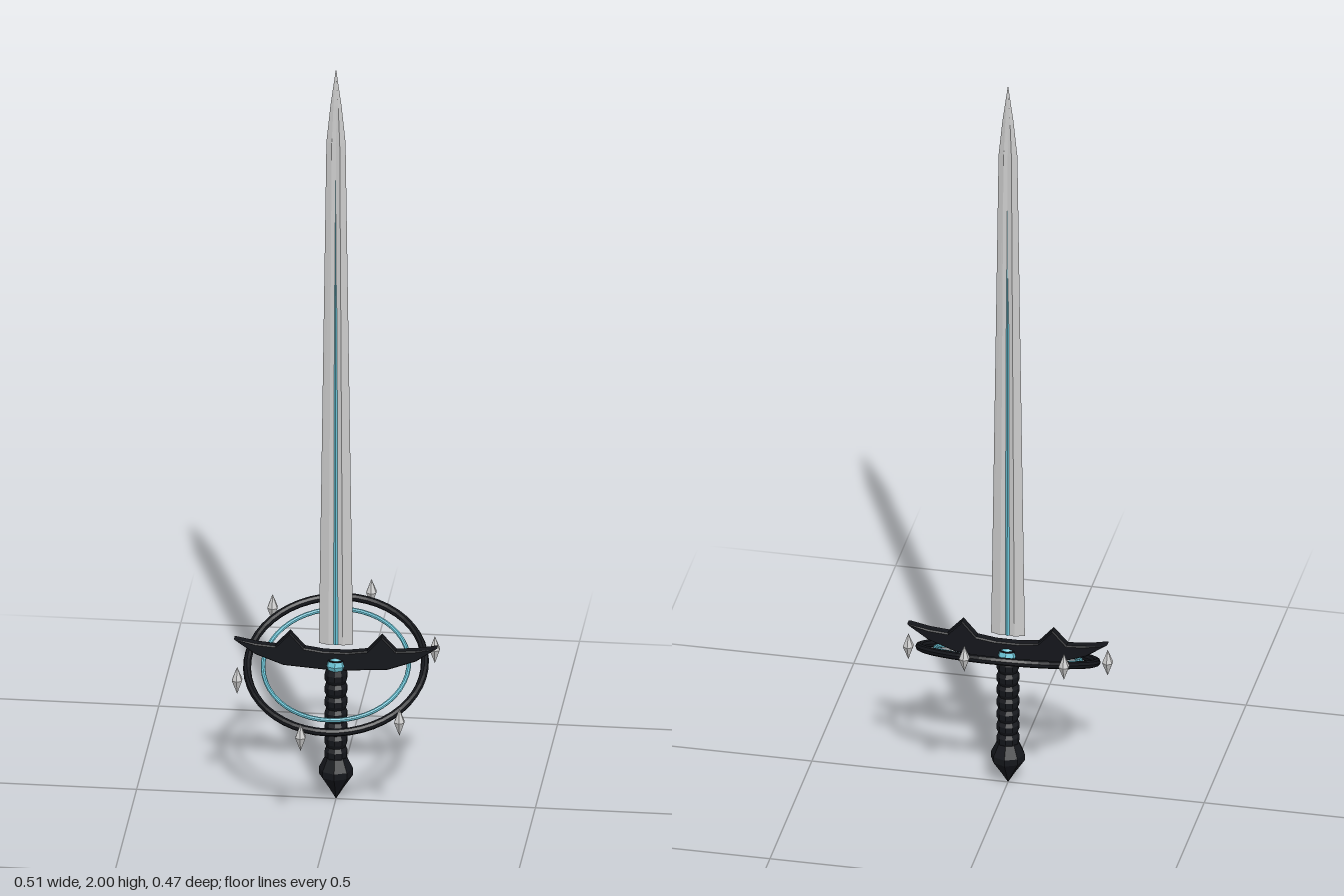
import * as THREE from 'three';

const mat = (color) => new THREE.MeshStandardMaterial({ color, flatShading: true });

function add(parent, name, geometry, material) {
  const mesh = new THREE.Mesh(geometry, material);
  mesh.name = name;
  parent.add(mesh);
  return mesh;
}

const lathe = (profile, sides) =>
  new THREE.LatheGeometry(profile.map(([r, y]) => new THREE.Vector2(r, y)), sides);

// Skin a stack of horizontal sections; each is { y, pts: [[x, z], ...] } running from +x towards +z
function loft(sections) {
  const n = sections[0].pts.length;
  const pos = [];
  const idx = [];
  for (const { y, pts } of sections) for (const [x, z] of pts) pos.push(x, y, z);
  for (let s = 0; s < sections.length - 1; s++) {
    for (let i = 0; i < n; i++) {
      const j = (i + 1) % n;
      const a = s * n + i, b = s * n + j;
      idx.push(a, a + n, b, b, a + n, b + n);
    }
  }
  // bottom cap
  pos.push(0, sections[0].y, 0);
  const c = pos.length / 3 - 1;
  for (let i = 0; i < n; i++) idx.push(c, i, (i + 1) % n);
  const g = new THREE.BufferGeometry();
  g.setAttribute('position', new THREE.Float32BufferAttribute(pos, 3));
  g.setIndex(idx);
  g.computeVertexNormals();
  return g;
}

// Two ridges with a shallow groove between them
const bladeSection = (y, w, t, groove) => ({
  y,
  pts: [[w, 0], [w * 0.42, t], [0, groove], [-w * 0.42, t],
    [-w, 0], [-w * 0.42, -t], [0, -groove], [w * 0.42, -t]],
});
const diamondSection = (y, w, t) => ({ y, pts: [[w, 0], [0, t], [-w, 0], [0, -t]] });

export function createModel() {
  const model = new THREE.Group();
  model.name = 'sword';
  const steel = mat(0xcccccc);
  const black = mat(0x14161b);
  const cyan = mat(0x6cc6d8);

  // Blade and its glowing core
  add(model, 'blade', loft([
    bladeSection(0.425, 0.043, 0.009, 0.005),
    bladeSection(1.8, 0.024, 0.0065, 0.0045),
    bladeSection(1.9, 0.014, 0.004, 0.004),
    bladeSection(2.0, 0.0003, 0.0003, 0.0003),
  ]), steel);
  add(model, 'bladeCore', loft([
    diamondSection(0.425, 0.016, 0.0095),
    diamondSection(1.3, 0.011, 0.0078),
    diamondSection(1.7, 0.0003, 0.005),
  ]), cyan);

  // Crossguard: mirrored half outline with a raised spike on each arm
  const half = [[0.03, 0.36], [0.13, 0.367], [0.2, 0.393], [0.251, 0.427],
    [0.2, 0.416], [0.15, 0.412], [0.115, 0.45], [0.08, 0.41], [0.03, 0.403]];
  const outline = [...half, ...half.map(([x, y]) => [-x, y]).reverse()];
  const guard = new THREE.ExtrudeGeometry(
    new THREE.Shape(outline.map(([x, y]) => new THREE.Vector2(x, y))),
    { depth: 0.018, bevelEnabled: true, bevelThickness: 0.004, bevelSize: 0.003, bevelSegments: 1 });
  guard.translate(0, 0, -0.009);
  add(model, 'crossguard', guard, black);

  // Gem set through the middle of the guard
  const gem = add(model, 'guardGem', new THREE.SphereGeometry(0.03, 8, 6), cyan);
  gem.position.y = 0.37;
  gem.scale.set(0.9, 0.75, 1);

  // Grip with wrapped ridges
  const gripProfile = [[0, 0.105], [0.023, 0.105]];
  const wraps = 7, step = 0.035;
  for (let i = 0; i < wraps; i++) {
    const y = 0.11 + i * step;
    gripProfile.push([0.024, y], [0.029, y + step * 0.3], [0.029, y + step * 0.7]);
  }
  gripProfile.push([0.024, 0.36], [0.024, 0.385], [0, 0.385]);
  add(model, 'grip', lathe(gripProfile, 10), black);

  // Pointed pommel
  add(model, 'pommel', lathe(
    [[0, 0], [0.018, 0.03], [0.043, 0.068], [0.043, 0.085], [0.026, 0.12], [0, 0.12]], 8), black);

  // Tilted hoops around the guard
  const centreY = 0.3675, tilt = 0.44;
  const rings = new THREE.Group();
  rings.name = 'rings';
  rings.position.y = centreY;
  rings.rotation.x = tilt;
  model.add(rings);
  const hoop = (name, radius, tube, material) =>
    add(rings, name, new THREE.TorusGeometry(radius, tube, 8, 48).rotateX(Math.PI / 2), material);
  hoop('outerRing', 0.222, 0.01, black);
  hoop('innerRing', 0.182, 0.0058, cyan);

  // Upright crystals floating just outside the hoops
  const crystalGeo = lathe([[0, -0.038], [0.0145, 0], [0, 0.036]], 6);
  for (let i = 0; i < 6; i++) {
    const a = THREE.MathUtils.degToRad(15 + i * 60);
    const d = -0.25 * Math.sin(a);
    add(model, 'crystal', crystalGeo, steel).position.set(
      0.25 * Math.cos(a), centreY - d * Math.sin(tilt), d * Math.cos(tilt));
  }
  return model;
}
